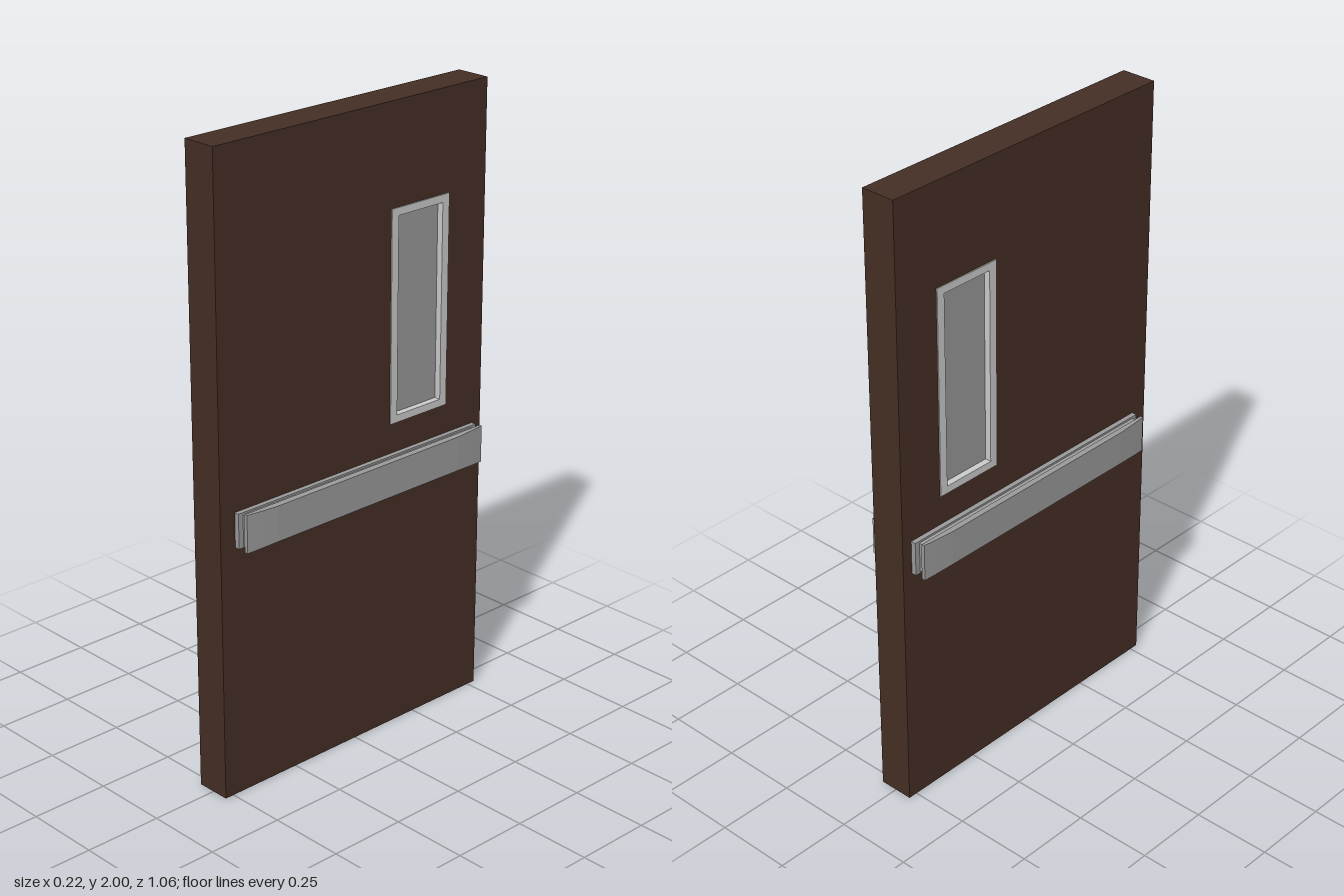
import * as THREE from 'three';

const material = (name, color) => {
  const m = new THREE.MeshStandardMaterial({ color });
  m.name = name;
  return m;
};

// Rectangle outline running along the door's width and height
function rectangle(Type, x0, x1, y0, y1) {
  const r = new Type();
  r.moveTo(x0, y0);
  r.lineTo(x1, y0);
  r.lineTo(x1, y1);
  r.lineTo(x0, y1);
  r.closePath();
  return r;
}

// Slab with a rectangular opening, its thickness centred along x
function slabWithOpening(outer, inner, thickness) {
  const shape = rectangle(THREE.Shape, ...outer);
  shape.holes.push(rectangle(THREE.Path, ...inner));
  const g = new THREE.ExtrudeGeometry(shape, { depth: thickness, bevelEnabled: false });
  g.translate(0, 0, -thickness / 2);
  g.rotateY(Math.PI / 2);
  return g;
}

// Stack of rectangular sections [x, half length, half height], capped outside
function pushBarGeometry(sections) {
  const pos = [];
  const corners = ([x, l, h]) => [[x, -h, -l], [x, -h, l], [x, h, l], [x, h, -l]];
  const quad = (a, b, c, d) => pos.push(...a, ...c, ...b, ...a, ...d, ...c);
  for (let i = 0; i < sections.length - 1; i++) {
    const a = corners(sections[i]), b = corners(sections[i + 1]);
    for (let k = 0; k < 4; k++) {
      const n = (k + 1) % 4;
      quad(a[k], a[n], b[n], b[k]);
    }
  }
  const end = corners(sections[sections.length - 1]);
  quad(end[0], end[1], end[2], end[3]);
  const g = new THREE.BufferGeometry();
  g.setAttribute('position', new THREE.Float32BufferAttribute(pos, 3));
  g.computeVertexNormals();
  return g;
}

export function createModel() {
  const wood = material('dark brown door', 0x452f25);
  const frameGrey = material('light grey frame', 0xcccccc);
  const glassGrey = material('grey glass', 0x999999);
  const metal = material('grey metal', 0x9b9b9b);

  const model = new THREE.Group();
  model.name = 'door';
  const add = (name, geometry, mat, parent = model) => {
    const mesh = new THREE.Mesh(geometry, mat);
    mesh.name = name;
    parent.add(mesh);
    return mesh;
  };

  // Door leaf with the window opening
  const opening = [0.15, 0.365, 1.02, 1.67];
  add('doorLeaf', slabWithOpening([-0.53, 0.53, 0, 2], opening, 0.114), wood);

  // Window frame through the leaf, with recessed glass
  const paneEdges = [0.167, 0.348, 1.034, 1.656];
  add('windowFrame', slabWithOpening([0.14, 0.375, 1.01, 1.68], paneEdges, 0.121), frameGrey);
  const glass = add('windowGlass', new THREE.BoxGeometry(0.08, 0.63, 0.19), glassGrey);
  glass.position.set(0, 1.345, -0.2575);

  // Push bar: backing plate, narrow neck, rounded outer lip
  const bar = pushBarGeometry([
    [0.050, 0.485, 0.055], [0.073, 0.485, 0.055],
    [0.073, 0.468, 0.049], [0.082, 0.468, 0.046],
    [0.092, 0.480, 0.056], [0.095, 0.480, 0.060],
    [0.104, 0.480, 0.060], [0.107, 0.440, 0.0585],
    [0.110, 0.370, 0.056],
  ]);
  for (const side of [1, -1]) {
    const pushBar = add(side > 0 ? 'leftPushBar' : 'rightPushBar', bar, metal);
    pushBar.position.set(0, 0.86, -0.01);
    // Turned half a circle for the other face of the door
    if (side < 0) pushBar.rotation.y = Math.PI;
  }

  model.position.x = -0.001;
  return model;
}
